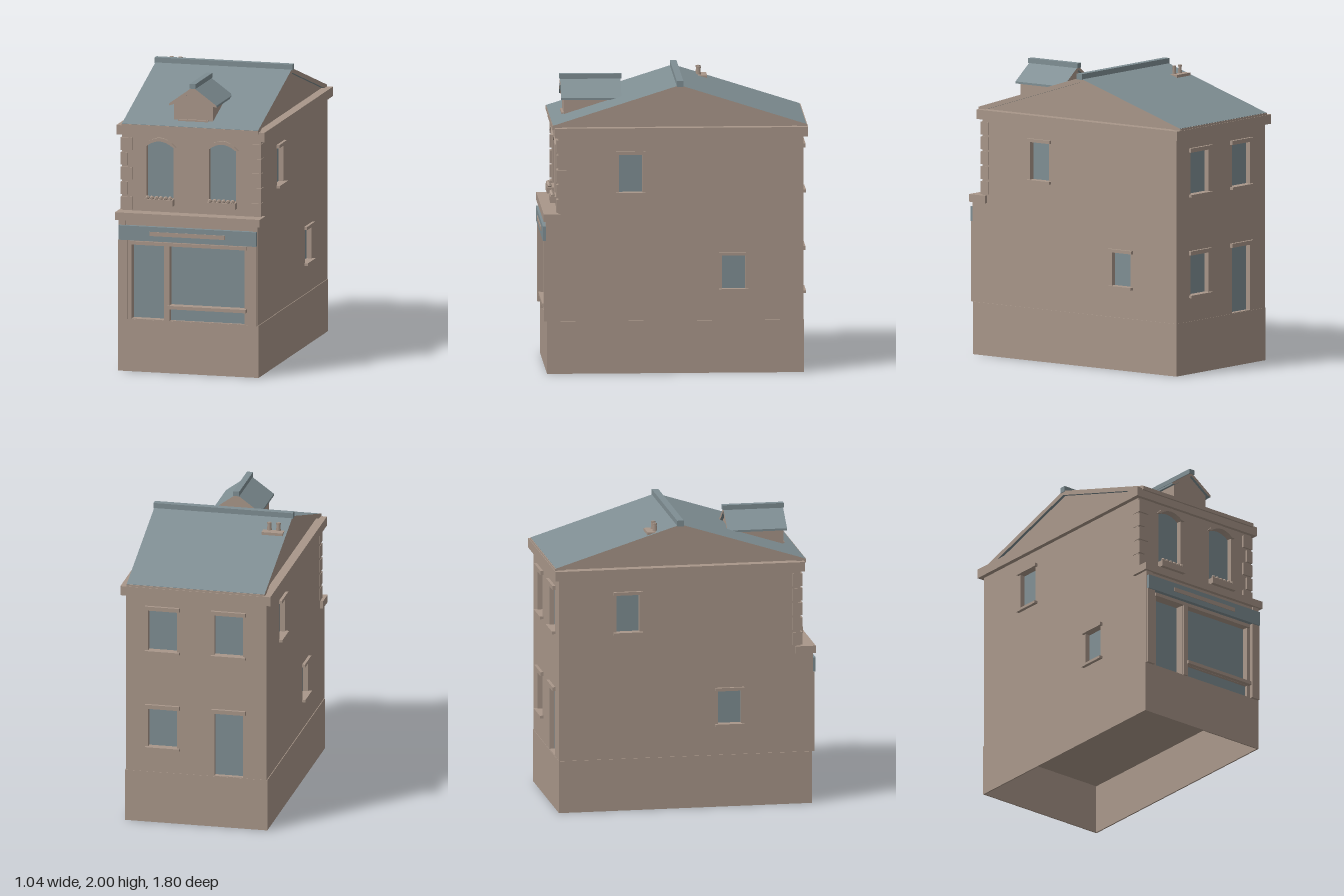
import * as THREE from 'three';

const stone = new THREE.MeshStandardMaterial({ color: 0xa89689 });
stone.name = 'warm stone';
const slate = new THREE.MeshStandardMaterial({ color: 0x7f8e93 });
slate.name = 'slate and glass';

function add(parent, name, geometry, material) {
  const mesh = new THREE.Mesh(geometry, material);
  mesh.name = name;
  parent.add(mesh);
  return mesh;
}

// Box given by its limits on each axis
function box(parent, name, x0, x1, y0, y1, z0, z1, material = stone) {
  const mesh = add(parent, name, new THREE.BoxGeometry(x1 - x0, y1 - y0, z1 - z0), material);
  mesh.position.set((x0 + x1) / 2, (y0 + y1) / 2, (z0 + z1) / 2);
  return mesh;
}

function polygon(points) {
  return new THREE.Shape(points.map(([x, y]) => new THREE.Vector2(x, y)));
}

function extrude(shape, depth) {
  return new THREE.ExtrudeGeometry(shape, { depth, bevelEnabled: false, curveSegments: 8 });
}

// Rectangular opening, with an arched top when rise is set
function opening({ x, w, y0, y1, rise = 0 }) {
  const s = new THREE.Shape();
  s.moveTo(x - w / 2, y0);
  s.lineTo(x + w / 2, y0);
  s.lineTo(x + w / 2, y1);
  if (rise) s.quadraticCurveTo(x, y1 + rise * 2, x - w / 2, y1);
  else s.lineTo(x - w / 2, y1);
  s.closePath();
  return s;
}

// Wall with glazed openings; its outer face is the local z = 0 plane
function wall(parent, name, outline, openings, depth = 0.05) {
  const group = new THREE.Group();
  group.name = name;
  const shape = polygon(outline);
  openings.forEach(o => shape.holes.push(opening(o)));
  add(group, name + 'Panel', extrude(shape, depth), stone).position.z = -depth;
  openings.forEach(o => {
    const glass = add(group, 'glass', extrude(opening(o), 0.008), slate);
    glass.position.z = -(o.recess || 0.035) - 0.008;
    if (o.trim) {
      const { x, y0, y1 } = o, h = o.w / 2 + 0.02;
      box(group, 'lintel', x - h, x + h, y1, y1 + o.trim, -0.03, 0.02);
      if (!o.door) box(group, 'sill', x - h, x + h, y0 - 0.018, y0, -0.03, 0.024);
    }
  });
  parent.add(group);
  return group;
}

const rect = (x0, x1, y0, y1) => [[x0, y0], [x1, y0], [x1, y1], [x0, y1]];

// Pitched roof slab: slate surfaces with stone gable edges, profile in (-z, y)
function roof(parent, name, points, length) {
  const geometry = extrude(polygon(points), length);
  geometry.translate(0, 0, -length / 2);
  return add(parent, name, geometry, [stone, slate]);
}

function buildWalls(g) {
  // Hollow plinth, open underneath
  const ring = polygon(rect(-0.495, 0.495, -0.875, 0.87));
  ring.holes.push(polygon(rect(-0.485, 0.485, -0.865, 0.86)));
  add(g, 'plinth', extrude(ring, 0.36), stone).rotation.x = -Math.PI / 2;
  g.getObjectByName('plinth').position.set(0, 0, -0.0025);
  box(g, 'floor', -0.485, 0.485, 0.345, 0.36, -0.865, 0.86);

  // Side walls: the same wall turned half round, with a deeper ground floor
  for (const s of [1, -1]) {
    const outline = [[s * 0.87, 0.36], [s * 0.87, 1.62], [s * -0.795, 1.62],
      [s * -0.795, 1.05], [s * -0.88, 1.05], [s * -0.88, 0.36]];
    const shift = s > 0 ? 0 : -0.09;
    const side = wall(g, s > 0 ? 'leftWall' : 'rightWall', outline, [
      { x: -0.305 + shift, w: 0.16, y0: 1.24, y1: 1.5, trim: 0.022 },
      { x: 0.395 + shift, w: 0.16, y0: 0.575, y1: 0.805, trim: 0.022 },
    ]);
    side.rotation.y = s * Math.PI / 2;
    side.position.x = s * 0.49;
  }

  // Back wall with three windows and a door (local x is mirrored)
  const back = wall(g, 'backWall', rect(-0.44, 0.44, 0.36, 1.62), [
    { x: -0.235, w: 0.2, y0: 1.23, y1: 1.52, trim: 0.028 },
    { x: 0.225, w: 0.2, y0: 1.23, y1: 1.52, trim: 0.028 },
    { x: -0.235, w: 0.2, y0: 0.54, y1: 0.815, trim: 0.028 },
    { x: 0.225, w: 0.2, y0: 0.364, y1: 0.815, trim: 0.028, door: true },
  ]);
  back.rotation.y = Math.PI;
  back.position.z = -0.87;
}

function buildUpperFront(g) {
  const xs = [-0.22, 0.22];
  const front = wall(g, 'upperFront', rect(-0.44, 0.44, 1.05, 1.62),
    xs.map(x => ({ x, w: 0.19, y0: 1.19, y1: 1.55, rise: 0.036 })));
  front.position.z = 0.795;

  for (const x of xs) {
    // Curved hood over the window
    const hood = new THREE.Shape();
    hood.moveTo(-0.115, 1.548);
    hood.quadraticCurveTo(0, 1.672, 0.115, 1.548);
    hood.lineTo(0.093, 1.548);
    hood.quadraticCurveTo(0, 1.624, -0.093, 1.548);
    hood.closePath();
    add(g, 'windowHood', extrude(hood, 0.03), stone).position.set(x, 0, 0.785);
    // Window box with planting
    box(g, 'windowBox', x - 0.1, x + 0.1, 1.145, 1.188, 0.79, 0.842);
    for (let i = 0; i < 6; i++) {
      const plant = add(g, 'plant', new THREE.IcosahedronGeometry(0.016, 0), stone);
      plant.position.set(x - 0.08 + i * 0.032, 1.197, 0.825);
    }
  }

  // Alternating corner blocks
  for (const s of [-1, 1]) {
    for (let i = 0; i < 5; i++) {
      const inner = i % 2 ? 0.445 : 0.415, y = 1.105 + i * 0.102;
      const [a, b] = [s * inner, s * 0.494].sort((p, q) => p - q);
      box(g, 'cornerBlock', a, b, y, y + 0.087, 0.74, 0.808);
    }
  }
}

function buildShop(g) {
  const shop = wall(g, 'shopFront', rect(-0.44, 0.44, 0.36, 1.05), [
    { x: -0.285, w: 0.23, y0: 0.364, y1: 0.88, recess: 0.06 },
    { x: 0.133, w: 0.525, y0: 0.47, y1: 0.88, recess: 0.04 },
    { x: 0.133, w: 0.525, y0: 0.364, y1: 0.445, recess: 0.02 },
  ], 0.08);
  shop.position.z = 0.87;
  for (const s of [-1, 1]) box(g, 'pilaster', s * 0.456 - 0.032, s * 0.456 + 0.032, 0.36, 0.91, 0.82, 0.892);
  box(g, 'shopHeadRail', -0.41, 0.41, 0.878, 0.902, 0.85, 0.885);
  box(g, 'doorPost', -0.166, -0.13, 0.36, 0.88, 0.83, 0.885);
  box(g, 'shopSill', -0.14, 0.412, 0.447, 0.47, 0.83, 0.9);
  box(g, 'signBoard', -0.485, 0.485, 0.91, 1.01, 0.86, 0.9, slate);
  box(g, 'signPanel', -0.265, 0.265, 0.947, 0.976, 0.898, 0.904);
  box(g, 'shopCornice', -0.51, 0.51, 1.045, 1.097, 0.757, 0.896);
}

function buildRoof(g) {
  box(g, 'cornice', -0.522, 0.522, 1.62, 1.685, -0.9, 0.82);
  // Inset gable filling
  const gable = add(g, 'gable', extrude(polygon([[-0.81, 1.68], [0.87, 1.68], [0.03, 1.945]]), 0.92), stone);
  gable.rotation.y = Math.PI / 2;
  gable.position.x = -0.46;

  roof(g, 'mainRoof', [[-0.83, 1.68], [-0.79, 1.68], [0.03, 1.94], [0.85, 1.68],
    [0.89, 1.68], [0.89, 1.7], [0.03, 1.972], [-0.83, 1.7]], 0.96).rotation.y = Math.PI / 2;
  box(g, 'frontEave', -0.48, 0.48, 1.672, 1.698, 0.815, 0.834);
  box(g, 'backEave', -0.48, 0.48, 1.672, 1.698, -0.896, -0.88);
  box(g, 'ridgeCap', -0.485, 0.485, 1.96, 2, -0.055, -0.01, slate);

  // Dormer
  const dormer = new THREE.Group();
  dormer.name = 'dormer';
  const face = polygon([[-0.137, 1.7], [0.137, 1.7], [0.137, 1.845], [0, 1.945], [-0.137, 1.845]]);
  add(dormer, 'dormerBody', extrude(face, 0.37), stone).position.z = 0.37;
  box(dormer, 'dormerSill', -0.105, 0.105, 1.715, 1.735, 0.7, 0.755);
  roof(dormer, 'dormerRoof', [[-0.167, 1.828], [-0.14, 1.836], [0, 1.938], [0.14, 1.836],
    [0.167, 1.828], [0.167, 1.842], [0, 1.963], [-0.167, 1.842]], 0.41).position.z = 0.555;
  box(dormer, 'dormerRidge', -0.021, 0.021, 1.952, 1.985, 0.343, 0.764, slate);
  g.add(dormer);

  // Low chimney with two pots
  box(g, 'chimney', -0.46, -0.312, 1.86, 1.92, -0.255, -0.19);
  for (const x of [-0.418, -0.355]) {
    add(g, 'chimneyPot', new THREE.CylinderGeometry(0.012, 0.018, 0.065, 4), stone).position.set(x, 1.943, -0.198);
    add(g, 'potRim', new THREE.CylinderGeometry(0.016, 0.016, 0.012, 4), stone).position.set(x, 1.969, -0.198);
  }
}

export function createModel() {
  const g = new THREE.Group();
  g.name = 'shopHouse';
  buildWalls(g);
  buildUpperFront(g);
  buildShop(g);
  buildRoof(g);
  return g;
}
